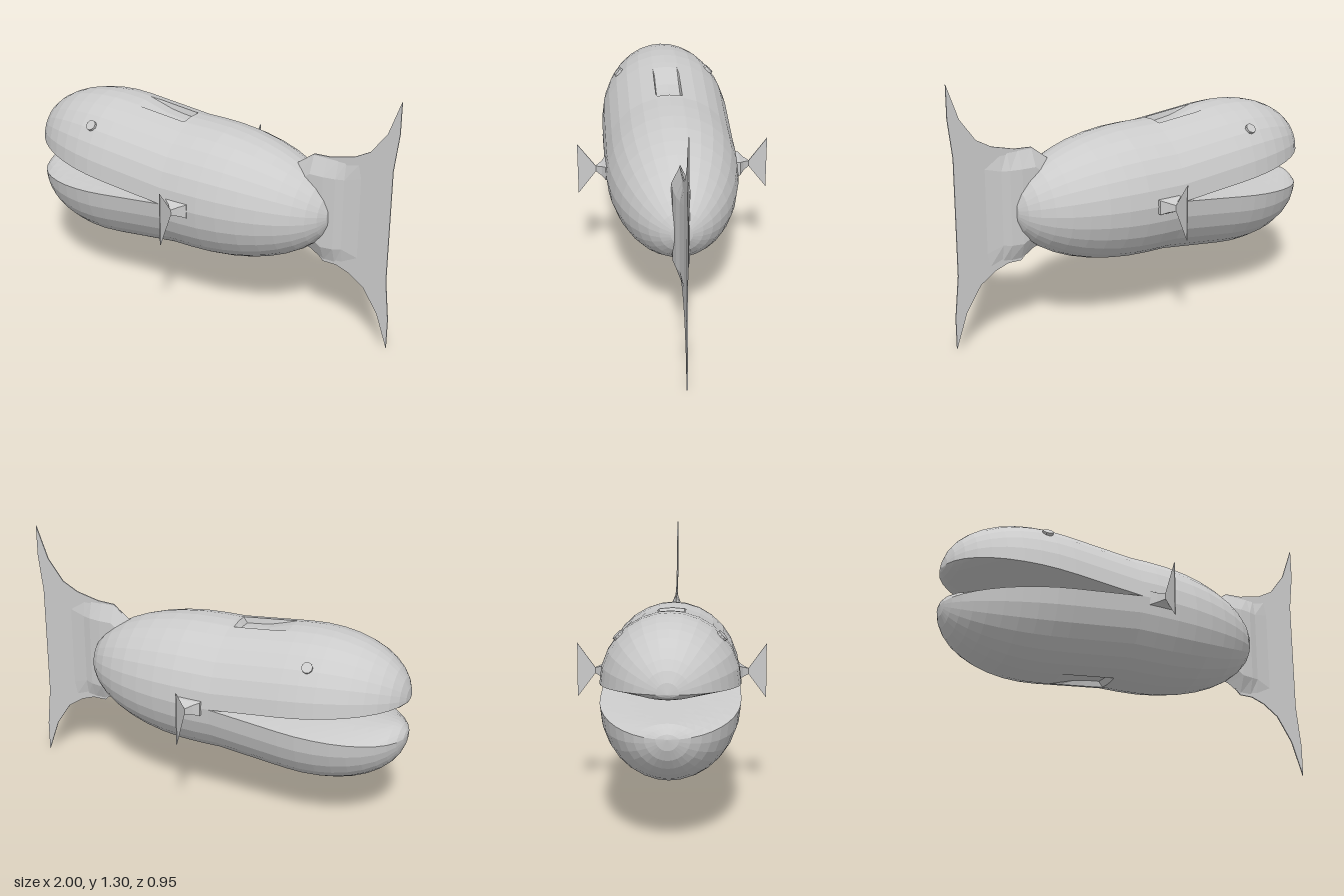
import * as THREE from 'three';

const material = new THREE.MeshStandardMaterial({ color: 0xcccccc, flatShading: true, side: THREE.DoubleSide });
const CY = 0.635, CZ = 0.007, RY = 0.336, RZ = 0.332, HINGE = -0.1;

function mesh(name, geometry) {
  const m = new THREE.Mesh(geometry, material);
  m.name = name;
  return m;
}

// Skins a grid of cross-sections (rows of [x, y, z] points)
function loft(rows) {
  const n = rows[0].length, index = [];
  for (let i = 0; i < rows.length - 1; i++) {
    for (let j = 0; j < n - 1; j++) {
      const a = i * n + j, c = a + n;
      index.push(a, a + 1, c, a + 1, c + 1, c);
    }
  }
  const g = new THREE.BufferGeometry();
  g.setAttribute('position', new THREE.Float32BufferAttribute(rows.flat(2), 3));
  g.setIndex(index);
  g.computeVertexNormals();
  return g;
}

function shapeOf(points) {
  return new THREE.Shape(points.map(([x, y]) => new THREE.Vector2(x, y)));
}

// Stations along the body: rounded nose, straight middle, rounded back
const stations = [];
for (let k = 0; k <= 10; k++) stations.push(-0.45 - 0.55 * Math.cos((k / 10) * Math.PI / 2));
stations.push(-0.4, -0.34, -0.27, -0.2, -0.14, -0.12, HINGE, -0.05);
for (let k = 0; k <= 10; k++) stations.push(0.68 * Math.sin((k / 10) * Math.PI / 2));

function scaleAt(x) {
  const t = x < -0.45 ? (x + 0.45) / 0.55 : x > 0 ? x / 0.68 : 0;
  return Math.sqrt(Math.max(0, 1 - t * t));
}

// Depth of the short groove in the back and belly
function grooveAt(x) {
  if (x <= -0.4 || x >= -0.121) return 0;
  return 0.03 * Math.min(1, (x + 0.4) / 0.15);
}

const quarter = [0.18, 0.2, 0.42, 0.64, 0.86, 1.08, 1.32, Math.PI / 2];
const angles = [...quarter.map((a) => -a).reverse(), 0, ...quarter];

// One half of the body, its jaw swung open from the hinge
function bodyHalf(side, slope, bulge) {
  const offset = (x) => side * slope * Math.max(0, HINGE - x);
  const skin = stations.map((x) => {
    const s = scaleAt(x);
    return angles.map((a) => {
      const dent = Math.abs(a) < 0.19 ? grooveAt(x) : 0;
      return [x, CY + offset(x) + side * (Math.cos(a) * RY * s - dent), CZ + side * Math.sin(a) * RZ * s];
    });
  });
  // Domed mouth lining between the rims
  const lining = stations.filter((x) => x <= HINGE).map((x) => {
    const s = scaleAt(x), row = [];
    const rise = bulge * (HINGE - x) * Math.min(1, s * 2.5);
    for (let j = 0; j <= 10; j++) {
      const t = j / 5 - 1;
      row.push([x, CY + offset(x) - side * rise * (1 - t * t), CZ - side * t * RZ * s]);
    }
    return row;
  });
  const g = new THREE.Group();
  g.name = side > 0 ? 'upperBody' : 'lowerBody';
  g.add(mesh('skin', loft(skin)), mesh('mouthLining', loft(lining)));
  return g;
}

// Tail: thick root that wraps the back of the body, and a thin forked blade
function tail() {
  const sections = [
    [0.48, 0.46, 0.87, 0.04], [0.57, 0.43, 0.94, 0.042], [0.64, 0.385, 0.94, 0.04],
    [0.7, 0.385, 0.94, 0.03], [0.74, 0.39, 0.94, 0.016], [0.82, 0.36, 0.96, 0.003],
  ];
  const root = sections.map(([x, bot, top, t]) => [
    [x, top, CZ], [x, top - 0.09, CZ + t], [x, bot + 0.09, CZ + t], [x, bot, CZ],
    [x, bot + 0.09, CZ - t], [x, top - 0.09, CZ - t], [x, top, CZ],
  ]);
  const blade = new THREE.ExtrudeGeometry(shapeOf([
    [0.49, 0.87], [0.57, 0.94], [0.66, 0.945], [0.78, 0.975], [0.86, 1.02], [0.94, 1.13], [1, 1.3],
    [1, 1.14], [0.978, 0.95], [0.978, 0.37], [1, 0.16],
    [1, 0], [0.94, 0.175], [0.86, 0.3], [0.78, 0.355], [0.71, 0.38], [0.64, 0.38], [0.57, 0.45],
  ]), { depth: 0.006, bevelEnabled: false });
  blade.translate(0, 0, CZ - 0.003);
  const g = new THREE.Group();
  g.name = 'tail';
  g.add(mesh('tailRoot', loft(root)), mesh('tailBlade', blade));
  return g;
}

// Side fin: pinched stem and an upright triangular blade
function sideFin(name) {
  const stem = [[0.3, 0.06, 0.036], [0.337, 0.06, 0.036], [0.356, 0.03, 0.025], [0.385, 0.003, 0.015]]
    .map(([z, w, h]) => [[w, -h], [w, h], [-w, h], [-w, -h], [w, -h]].map(([x, y]) => [x, CY + y, z]));
  const blade = new THREE.ExtrudeGeometry(
    shapeOf([[0.36, 0.622], [0.385, 0.62], [0.475, 0.5], [0.475, 0.775], [0.385, 0.65], [0.36, 0.648]]),
    { depth: 0.005, bevelEnabled: false },
  );
  blade.translate(0, 0, -0.0025).rotateY(-Math.PI / 2);
  const g = new THREE.Group();
  g.name = name;
  g.add(mesh('finStem', loft(stem)), mesh('finBlade', blade));
  return g;
}

export function createModel() {
  const model = new THREE.Group();
  model.name = 'fish';
  model.add(bodyHalf(1, 0.1, 0.035), bodyHalf(-1, 0.118, 0.06), tail());

  const nearFin = sideFin('frontFin');
  const farFin = sideFin('backFin');
  farFin.rotation.y = Math.PI;
  model.add(nearFin, farFin);

  // Small round eyes standing out of the upper jaw
  for (const side of [1, -1]) {
    const eye = mesh(side > 0 ? 'frontEye' : 'backEye', new THREE.CylinderGeometry(0.027, 0.027, 0.04, 10));
    eye.position.set(-0.56, 0.9, CZ + side * 0.23);
    eye.quaternion.setFromUnitVectors(new THREE.Vector3(0, 1, 0), new THREE.Vector3(-0.1, 0.68, side * 0.72).normalize());
    model.add(eye);
  }
  return model;
}
